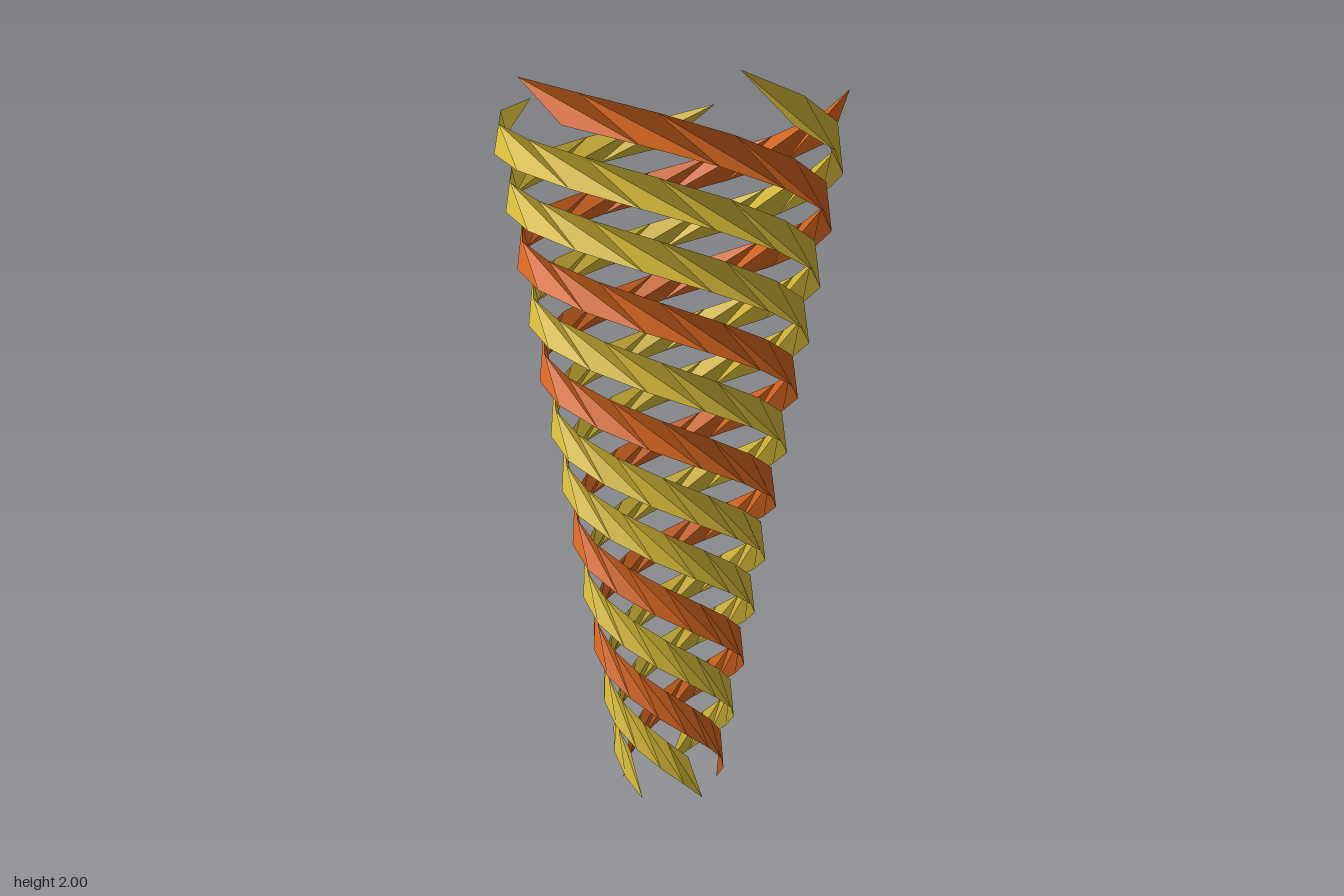
import * as THREE from 'three';

// Five faceted ribbons wind down a tapering cone as an open basket.
const STRANDS = 5, STEPS = 36;
const TOP_R = 0.497, BOTTOM_R = 0.146;
const STEP_ANGLE = 24, BAR_ANGLE = 18.8; // degrees per step, and across one slanted rung
const RUNG_DROP = 0.13;                  // height lost across one rung

// Ribbon made of slanted rungs, each joined to the next by two flat triangles
function ribbonGeometry(startAngle) {
  const positions = [], indices = [];
  for (let i = 0; i <= STEPS; i++) {
    const t = i / STEPS;
    const r = THREE.MathUtils.lerp(TOP_R, BOTTOM_R, t);
    const y = 2 - t * (2 - RUNG_DROP);
    for (const side of [0, 1]) {
      const a = THREE.MathUtils.degToRad(startAngle - i * STEP_ANGLE - side * BAR_ANGLE);
      positions.push(r * Math.cos(a), y - side * RUNG_DROP, r * Math.sin(a));
    }
    if (i < STEPS) {
      const u = 2 * i, l = u + 1;
      indices.push(u, l, l + 2, u, l + 2, u + 2);
    }
  }
  const indexed = new THREE.BufferGeometry();
  indexed.setAttribute('position', new THREE.Float32BufferAttribute(positions, 3));
  indexed.setIndex(indices);
  const geometry = indexed.toNonIndexed();
  geometry.computeVertexNormals();
  return geometry;
}

export function createModel() {
  const group = new THREE.Group();
  group.name = 'spiralBasket';

  const yellow = new THREE.MeshStandardMaterial({ color: 0xd4b838, flatShading: true, side: THREE.DoubleSide });
  yellow.name = 'yellow';
  const orange = new THREE.MeshStandardMaterial({ color: 0xd4651f, flatShading: true, side: THREE.DoubleSide });
  orange.name = 'orange';
  const colours = [orange, yellow, orange, yellow, yellow];

  for (let k = 0; k < STRANDS; k++) {
    const ribbon = new THREE.Mesh(ribbonGeometry(47.4 + k * 360 / STRANDS), colours[k]);
    ribbon.name = `${colours[k].name}Ribbon${k + 1}`;
    group.add(ribbon);
  }
  return group;
}
